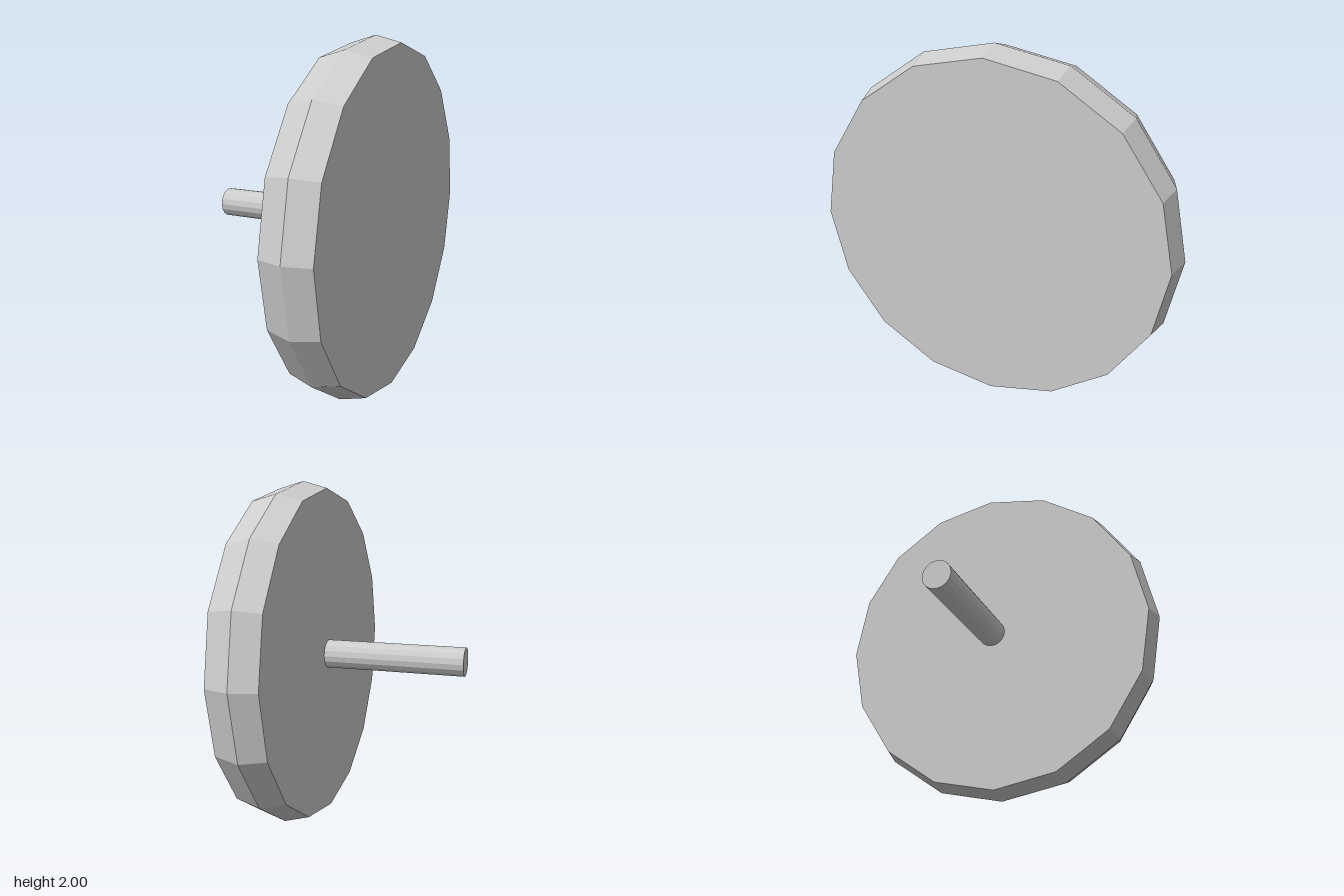
import * as THREE from 'three';

const SIDES = 16;

// Faceted solid of revolution about the x axis; profile holds [radius, x] pairs
function turned(name, profile, material) {
  const points = profile.map(([r, x]) => new THREE.Vector2(r, x));
  const mesh = new THREE.Mesh(new THREE.LatheGeometry(points, SIDES), material);
  mesh.name = name;
  mesh.rotation.z = -Math.PI / 2;
  mesh.position.y = 1;
  return mesh;
}

export function createModel() {
  const model = new THREE.Group();
  model.name = 'wheelWithAxle';
  const grey = new THREE.MeshStandardMaterial({ color: 0xcccccc, flatShading: true });

  // Wheel disc with a ridge around the middle of its tread
  model.add(turned('wheel', [[0, 0.265], [0.96, 0.265], [1, 0.408], [0.96, 0.553], [0, 0.553]], grey));

  // Axle, set slightly into the inner face of the wheel
  model.add(turned('axle', [[0, -0.555], [0.084, -0.555], [0.084, 0.28], [0, 0.28]], grey));

  return model;
}
